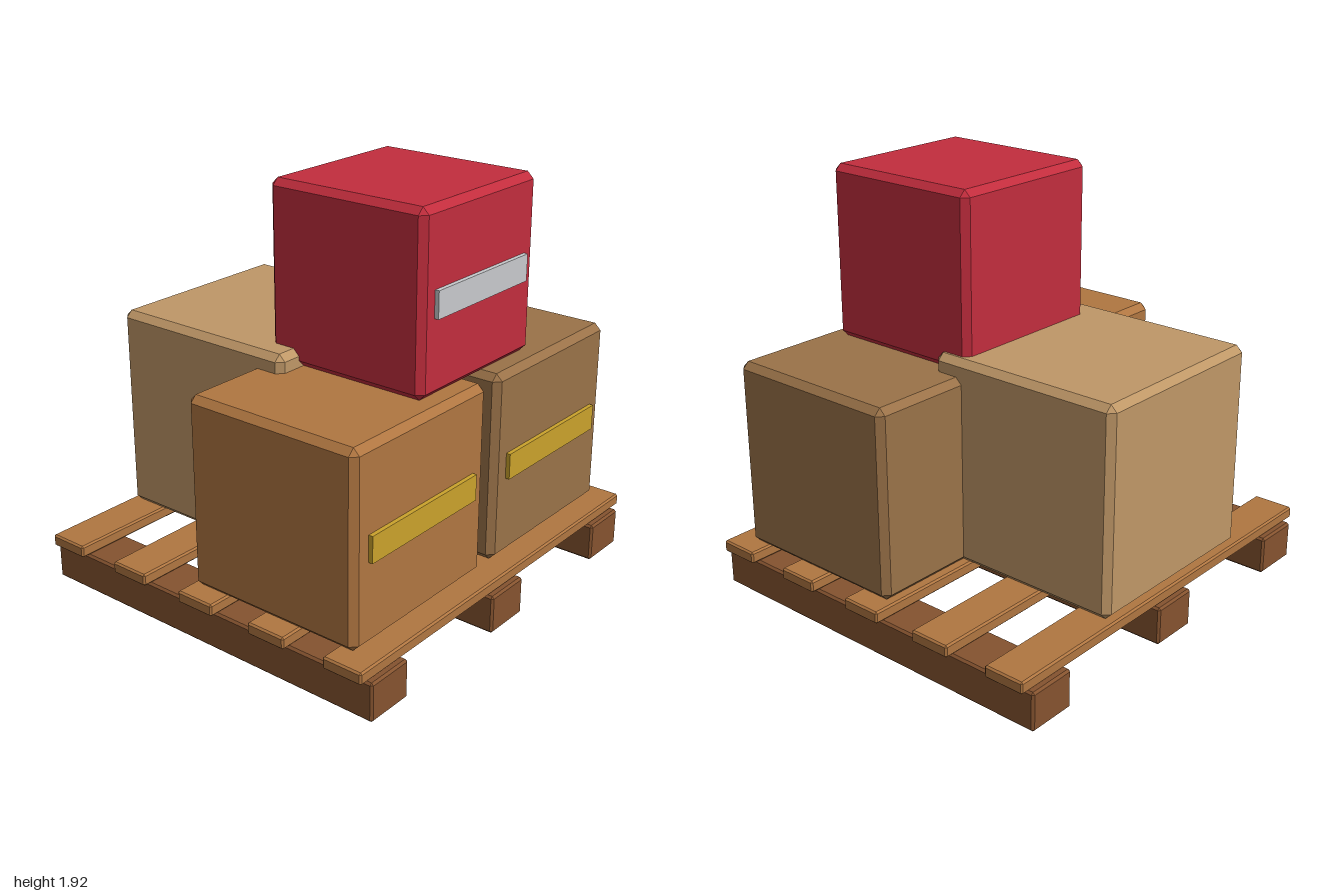
import * as THREE from 'three';
import { ConvexGeometry } from 'three/addons/geometries/ConvexGeometry.js';

const paint = (name, color) => {
  const m = new THREE.MeshStandardMaterial({ color });
  m.name = name;
  return m;
};

// Box with flat chamfers on every edge
function chamferBox(w, h, d, c) {
  const points = [];
  for (const sx of [-1, 1]) for (const sy of [-1, 1]) for (const sz of [-1, 1]) {
    for (let face = 0; face < 3; face++) {
      const inset = [0, 1, 2].map((axis) => (axis === face ? 0 : c));
      points.push(new THREE.Vector3(
        sx * (w / 2 - inset[0]), sy * (h / 2 - inset[1]), sz * (d / 2 - inset[2])));
    }
  }
  return new ConvexGeometry(points);
}

export function createModel() {
  const model = new THREE.Group();
  model.name = 'loadedPallet';

  const darkWood = paint('dark wood', 0x85532f);
  const wood = paint('orange wood and card', 0xb07641);
  const brownCard = paint('brown card', 0x9a7248);
  const tanCard = paint('tan card', 0xbf9767);
  const red = paint('red', 0xc22d3d);
  const yellow = paint('yellow tape', 0xcaa22c);
  const grey = paint('grey label', 0xc7c9cc);

  const add = (parent, name, geometry, material, x, y, z) => {
    const mesh = new THREE.Mesh(geometry, material);
    mesh.name = name;
    mesh.position.set(x, y, z);
    parent.add(mesh);
  };

  // Pallet: three runners under five deck slats
  const pallet = new THREE.Group();
  pallet.name = 'pallet';
  model.add(pallet);
  const runner = chamferBox(0.236, 0.18, 1.84, 0.01);
  for (const x of [-0.84, 0, 0.84]) add(pallet, 'runner', runner, darkWood, x, 0.09, 0);
  const slat = chamferBox(2, 0.056, 0.196, 0.008);
  for (let i = -2; i <= 2; i++) add(pallet, 'slat', slat, wood, 0, 0.212, i * 0.4);

  // Cubic cartons, each with a strip across the front face
  const carton = (name, size, x, bottom, z, card, strip) => {
    const group = new THREE.Group();
    group.name = name;
    group.position.set(x, bottom + size / 2, z);
    add(group, name + 'Body', chamferBox(size, size, size, 0.03), card, 0, 0, 0);
    add(group, name + 'Strip', new THREE.BoxGeometry(size * 0.8, 0.12, 0.02), strip,
      0, 0, size / 2 + 0.01);
    model.add(group);
  };
  carton('leftFrontCarton', 0.88, 0.48, 0.24, 0.36, brownCard, yellow);
  carton('rightFrontCarton', 0.88, -0.48, 0.24, 0.36, wood, yellow);
  carton('backCarton', 0.96, -0.04, 0.24, -0.4, tanCard, yellow);
  carton('topCarton', 0.8, 0, 1.12, 0.32, red, grey);

  return model;
}
